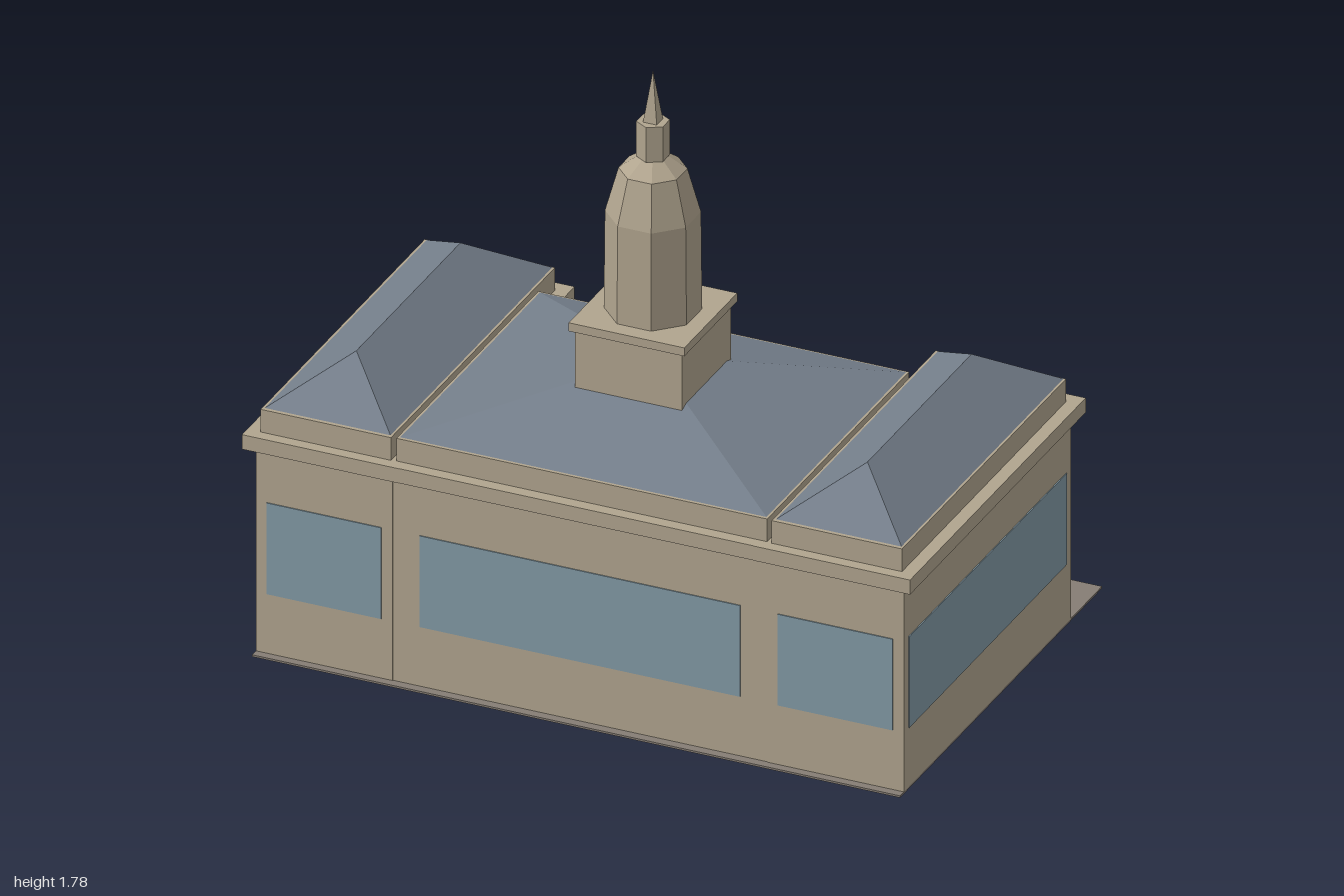
import * as THREE from 'three';

const mat = (color, side = THREE.FrontSide) => {
  const m = new THREE.MeshStandardMaterial({ color, flatShading: true, side });
  return m;
};

export function createModel() {
  const model = new THREE.Group();
  const stone = mat(0xb0a48e), slate = mat(0x747e8a), glass = mat(0x8299a5), paving = mat(0x857d74);

  const add = (name, geometry, material, parent = model) => {
    const mesh = new THREE.Mesh(geometry, material);
    mesh.name = name;
    parent.add(mesh);
    return mesh;
  };

  // Box given by its extents on each axis
  const box = (name, [x0, x1], [y0, y1], [z0, z1], material = stone, parent = model) => {
    const mesh = add(name, new THREE.BoxGeometry(x1 - x0, y1 - y0, z1 - z0), material, parent);
    mesh.position.set((x0 + x1) / 2, (y0 + y1) / 2, (z0 + z1) / 2);
    return mesh;
  };

  // Hipped roof with its ridge along z; equal ridge ends give a pyramid
  const hipRoof = (name, [x0, x1], [y0, y1], [z0, z1], [r0, r1], parent) => {
    const xm = (x0 + x1) / 2;
    const a = [x0, y0, z0], b = [x1, y0, z0], c = [x1, y0, z1], d = [x0, y0, z1];
    const p = [xm, y1, r0], q = [xm, y1, r1];
    const faces = [b, a, p, d, c, q, c, b, p, a, d, q];
    if (r0 !== r1) faces.push(c, p, q, a, q, p);
    const g = new THREE.BufferGeometry();
    g.setAttribute('position', new THREE.Float32BufferAttribute(faces.flat(), 3));
    g.computeVertexNormals();
    return add(name, g, slate, parent);
  };

  // Tapered prism standing on y0, centred on the tower axis
  const prism = (name, rBottom, rTop, y0, y1, sides, turn, parent) => {
    const mesh = add(name, new THREE.CylinderGeometry(rTop, rBottom, y1 - y0, sides), stone, parent);
    mesh.position.y = (y0 + y1) / 2;
    mesh.rotation.y = turn;
    return mesh;
  };

  const winY = [0.19, 0.472], e = 0.003;

  box('groundSlab', [-0.97, 0.97], [0, 0.006], [-0.66, 0.66], paving);

  // Central hall
  const hall = new THREE.Group();
  hall.name = 'centralHall';
  model.add(hall);
  box('hallWalls', [-0.565, 0.565], [0.001, 0.64], [-0.315, 0.633], stone, hall);
  box('hallCornice', [-0.56, 0.56], [0.635, 0.68], [-0.345, 0.659], stone, hall);
  box('hallParapet', [-0.555, 0.555], [0.68, 0.75], [-0.305, 0.622], stone, hall);
  hipRoof('hallRoof', [-0.548, 0.548], [0.75, 0.9], [-0.3, 0.612], [0.156, 0.156], hall);
  box('hallFrontWindow', [-0.48, 0.48], winY, [0.62, 0.633 + e], glass, hall);
  box('hallBackWindow', [-0.48, 0.48], winY, [-0.315 - e, -0.3], glass, hall);

  // Two side wings, mirrored
  for (const s of [1, -1]) {
    const wing = new THREE.Group();
    wing.name = s > 0 ? 'leftWing' : 'rightWing';
    model.add(wing);
    const mx = (a, b) => (s > 0 ? [a, b] : [-b, -a]);
    box('wingWalls', mx(0.56, 0.97), [0.001, 0.64], [-0.457, 0.635], stone, wing);
    box('wingCornice', mx(0.53, 1), [0.635, 0.68], [-0.488, 0.66], stone, wing);
    box('wingParapet', mx(0.57, 0.96), [0.68, 0.75], [-0.447, 0.625], stone, wing);
    hipRoof('wingRoof', mx(0.577, 0.953), [0.75, 0.877], [-0.445, 0.613], [-0.255, 0.425], wing);
    box('wingFrontWindow', mx(0.593, 0.937), winY, [0.62, 0.635 + e], glass, wing);
    box('wingBackWindow', mx(0.593, 0.937), winY, [-0.457 - e, -0.44], glass, wing);
    box('wingOuterWindow', mx(0.95, 0.97 + e), winY, [-0.425, 0.605], glass, wing);
    box('wingInnerWindow', mx(0.56 - e, 0.58), winY, [-0.425, 0.605], glass, wing);
  }

  // Rear portico: landing, columns and canopy
  const portico = new THREE.Group();
  portico.name = 'portico';
  model.add(portico);
  box('landing', [-0.325, 0.325], [0.001, 0.09], [-0.637, -0.31], stone, portico);
  box('canopy', [-0.325, 0.325], [0.34, 0.458], [-0.457, -0.31], stone, portico);
  for (let i = 0; i < 6; i++) {
    const column = add('column', new THREE.CylinderGeometry(0.018, 0.018, 0.26, 8), stone, portico);
    column.position.set(-0.29 + i * 0.116, 0.215, -0.42);
  }

  // Tower: square base, octagonal drum and dome, hexagonal lantern, spire
  const tower = new THREE.Group();
  tower.name = 'tower';
  tower.position.z = 0.157;
  model.add(tower);
  box('towerBase', [-0.16, 0.16], [0.8, 1.025], [-0.16, 0.16], stone, tower);
  box('towerCap', [-0.173, 0.173], [1.024, 1.05], [-0.173, 0.173], stone, tower);
  const oct = Math.PI / 8;
  prism('drum', 0.134, 0.131, 1.05, 1.35, 8, oct, tower);
  prism('lowerDome', 0.131, 0.094, 1.35, 1.483, 8, oct, tower);
  prism('upperDome', 0.094, 0.036, 1.483, 1.525, 8, oct, tower);
  prism('lantern', 0.046, 0.046, 1.522, 1.63, 6, 0, tower);
  prism('spire', 0.029, 0, 1.63, 1.785, 4, Math.PI / 4, tower);

  return model;
}
